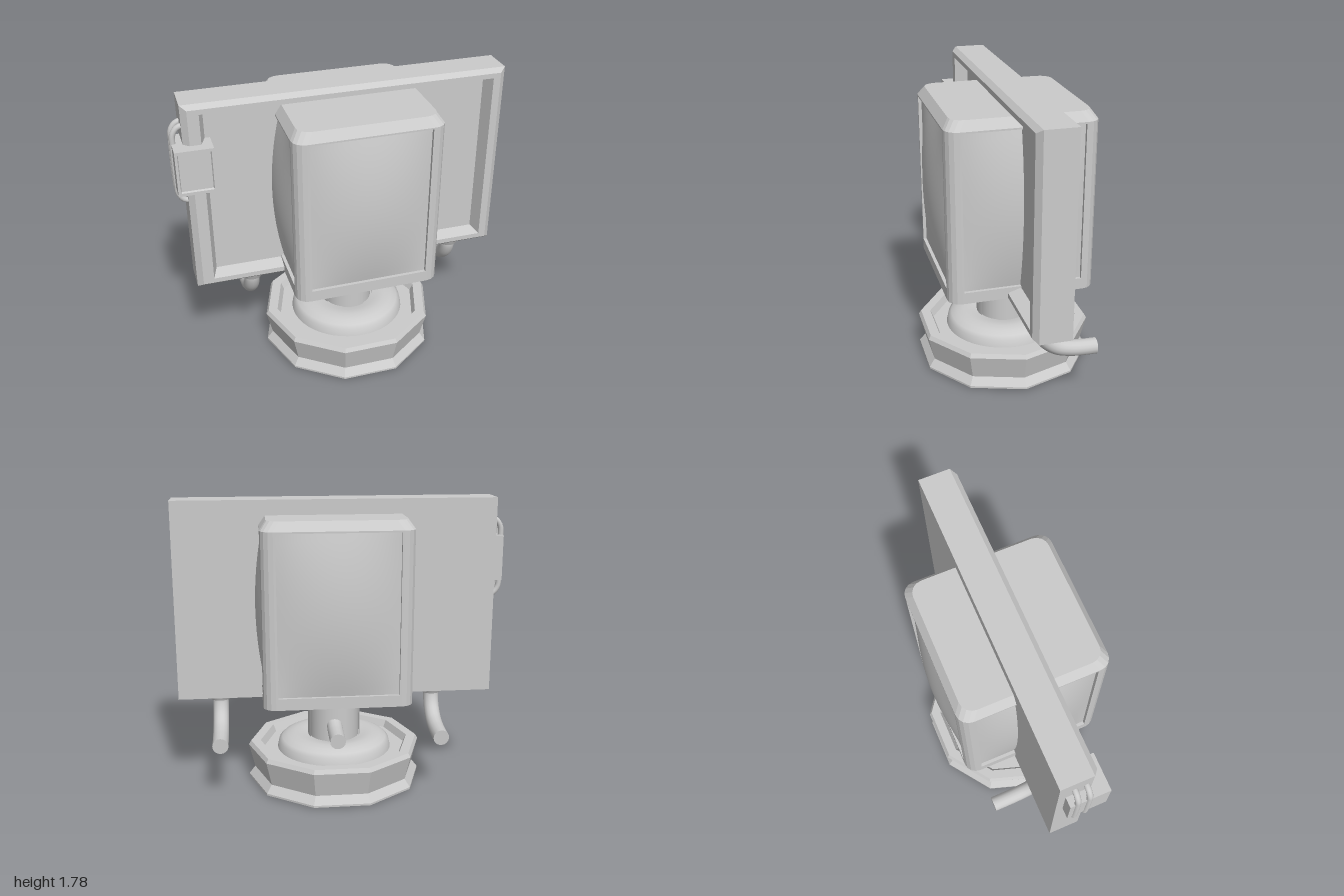
import * as THREE from 'three';

const smooth = new THREE.MeshStandardMaterial({ color: 0xcccccc, side: THREE.DoubleSide });
const flat = new THREE.MeshStandardMaterial({ color: 0xcccccc, side: THREE.DoubleSide, flatShading: true });

function add(parent, name, geometry, material = smooth, x = 0, y = 0, z = 0) {
  const mesh = new THREE.Mesh(geometry, material);
  mesh.name = name;
  mesh.position.set(x, y, z);
  parent.add(mesh);
  return mesh;
}

// Joins counter-clockwise [x, y] loops stacked along z, capped at both ends
function loft(sections) {
  const n = sections[0].loop.length;
  const last = (sections.length - 1) * n;
  const positions = sections.flatMap(s => s.loop.flatMap(p => [p[0], p[1], s.z]));
  const index = [];
  for (let k = 0; k < last; k += n) {
    for (let i = 0; i < n; i++) {
      const j = (i + 1) % n;
      index.push(k + i, k + j, k + n + j, k + i, k + n + j, k + n + i);
    }
  }
  for (let i = 1; i < n - 1; i++) {
    index.push(0, i + 1, i, last, last + i, last + i + 1);
  }
  const g = new THREE.BufferGeometry();
  g.setAttribute('position', new THREE.Float32BufferAttribute(positions, 3));
  g.setIndex(index);
  const out = g.toNonIndexed();
  out.computeVertexNormals();
  return out;
}

const rect = (x0, x1, y0, y1, z) => ({ z, loop: [[x0, y0], [x1, y0], [x1, y1], [x0, y1]] });

// Rounded corner of a square, in the first quadrant
function cornerArc(half, r, segments = 4) {
  return Array.from({ length: segments + 1 }, (_, i) => {
    const a = (i / segments) * Math.PI / 2;
    return [half - r + r * Math.cos(a), half - r + r * Math.sin(a)];
  });
}

function roundedSquare(half, r, z) {
  const loop = [];
  let arc = cornerArc(half, r);
  for (let k = 0; k < 4; k++) {
    loop.push(...arc);
    arc = arc.map(([x, y]) => [-y, x]);
  }
  return { z, loop };
}

// Pipe along a smooth path, closed at its far end
function pipe(parent, name, points, r) {
  const curve = new THREE.CatmullRomCurve3(points.map(p => new THREE.Vector3(...p)));
  add(parent, name, new THREE.TubeGeometry(curve, 32, r, 16));
  const end = curve.getPoint(1);
  const cap = add(parent, name + 'End', new THREE.CircleGeometry(r, 16), smooth, end.x, end.y, end.z);
  cap.lookAt(end.clone().add(curve.getTangent(1)));
}

function lathe(points, segments, start = 0) {
  return new THREE.LatheGeometry(points.map(p => new THREE.Vector2(...p)), segments, start);
}

function createStand() {
  const stand = new THREE.Group();
  stand.name = 'stand';
  stand.position.x = 0.04;
  // Ten-sided foot with a waisted rim and a sunken top
  add(stand, 'foot', lathe([[0, 0], [0.545, 0.01], [0.545, 0.022], [0.508, 0.07], [0.545, 0.22],
    [0.53, 0.245], [0.47, 0.245], [0.45, 0.2], [0.15, 0.2]], 10, Math.PI / 10), flat);
  add(stand, 'footRing', lathe([[0.36, 0.2], [0.35, 0.245], [0.33, 0.265], [0.295, 0.283],
    [0.25, 0.293], [0.2, 0.29], [0.14, 0.275]], 48));
  // Column with raised strips and a collar
  add(stand, 'column', new THREE.CylinderGeometry(0.156, 0.156, 0.35, 40), smooth, 0, 0.435);
  for (let k = 0; k < 4; k++) {
    add(stand, 'columnStrip', new THREE.CylinderGeometry(0.165, 0.165, 0.26, 8, 1, true,
      k * Math.PI / 2 - 0.41, 0.82), smooth, 0, 0.41);
  }
  add(stand, 'collar', new THREE.CylinderGeometry(0.172, 0.172, 0.06, 40), smooth, 0, 0.575);
  return stand;
}

function createHousing() {
  const housing = new THREE.Group();
  housing.name = 'housing';
  housing.position.set(0.05, 0, -0.005);
  const half = 0.4425, r = 0.075, open = 0.355, low = 0.67, high = 1.625;
  // Sill and bevelled cap
  const sill = loft([roundedSquare(half, r, 0.6), roundedSquare(half, r, low)]);
  const cap = loft([roundedSquare(half, r, high), roundedSquare(half, r, 1.635),
    roundedSquare(half - 0.038, r, 1.69)]);
  add(housing, 'sill', sill.rotateX(-Math.PI / 2), flat);
  add(housing, 'cap', cap.rotateX(-Math.PI / 2), flat);
  // Corner posts
  const postLoop = [[open, open], [half, open], ...cornerArc(half, r), [open, half]];
  const post = loft([{ z: low, loop: postLoop }, { z: high, loop: postLoop }]).rotateX(-Math.PI / 2);
  // Bulging panels set in the openings
  const height = high - low;
  const panel = new THREE.PlaneGeometry(2 * open, height, 20, 20);
  const p = panel.attributes.position;
  for (let i = 0; i < p.count; i++) {
    const u = p.getX(i) / open, v = p.getY(i) / (height / 2);
    p.setZ(i, half - 0.02 + 0.057 * (1 - u * u) * (1 - v * v));
  }
  panel.computeVertexNormals();
  for (let k = 0; k < 4; k++) {
    const side = new THREE.Group();
    side.name = 'housingSide';
    side.rotation.y = k * Math.PI / 2;
    add(side, 'cornerPost', post, flat);
    add(side, 'bulgedPanel', panel, smooth, 0, (low + high) / 2);
    housing.add(side);
  }
  return housing;
}

function createControlBox() {
  const control = new THREE.Group();
  control.name = 'controlBox';
  add(control, 'box', loft([
    rect(-0.99, -0.77, 1.27, 1.545, -0.085), rect(-0.99, -0.77, 1.27, 1.545, 0.15),
    rect(-0.975, -0.785, 1.288, 1.527, 0.15), rect(-0.97, -0.79, 1.293, 1.522, 0.138),
  ]), flat);
  // Paired conduits looping into the edge of the board
  for (const z of [-0.04, 0.027]) {
    pipe(control, 'conduit', [[-0.9, 1.645, z], [-0.945, 1.64, z], [-0.977, 1.6, z], [-0.983, 1.53, z],
      [-0.983, 1.29, z], [-0.977, 1.22, z], [-0.945, 1.18, z], [-0.9, 1.175, z]], 0.017);
  }
  return control;
}

export function createModel() {
  const model = new THREE.Group();
  model.name = 'displayStand';
  model.add(createStand(), createHousing(), createControlBox());

  // Wide board with a bevelled frame and a recessed front
  add(model, 'board', loft([
    rect(-0.93, 1, 0.58, 1.78, -0.13), rect(-0.93, 1, 0.58, 1.78, 0.06),
    rect(-0.895, 0.965, 0.605, 1.755, 0.09), rect(-0.83, 0.92, 0.635, 1.725, 0.09),
    rect(-0.8, 0.89, 0.66, 1.7, 0.01),
  ]), flat);

  // Bent outlet pipes under the board
  for (const x of [-0.58, 0.05, 0.75]) {
    add(model, 'pipeFlange', new THREE.CylinderGeometry(0.075, 0.06, 0.035, 24), smooth, x, 0.563, -0.015);
    pipe(model, 'outletPipe', [[x, 0.58, -0.015], [x, 0.52, -0.02], [x, 0.45, -0.055], [x, 0.395, -0.125],
      [x, 0.37, -0.21], [x, 0.362, -0.29], [x, 0.36, -0.365]], 0.048);
  }
  return model;
}
